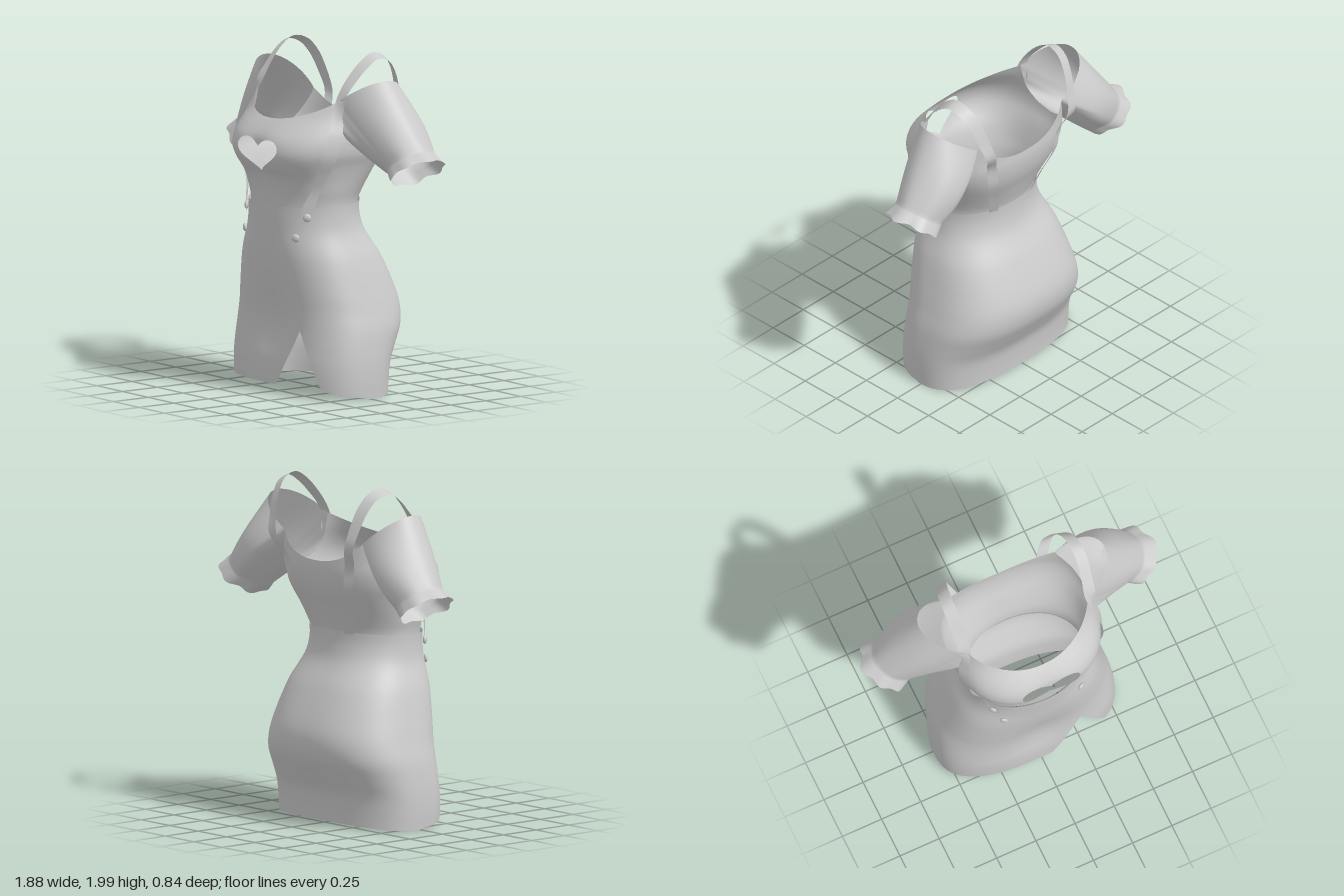
import * as THREE from 'three';
import { mergeGeometries, mergeVertices } from 'three/addons/utils/BufferGeometryUtils.js';

const { PI, sin, cos, abs, sign, min, max, pow, exp } = Math;
const lerp = THREE.MathUtils.lerp;
const material = new THREE.MeshStandardMaterial({ color: 0xcccccc, side: THREE.DoubleSide });

// Body sections: height, half width, front z, back z, z of the widest point
const SKIRT = [
  [0, 0.555, 0.315, -0.29, 0.02], [0.1, 0.56, 0.32, -0.295, 0.02], [0.2, 0.56, 0.322, -0.31, 0.01],
  [0.3, 0.553, 0.315, -0.36, 0], [0.4, 0.54, 0.312, -0.41, -0.02], [0.5, 0.515, 0.315, -0.425, -0.02],
  [0.6, 0.49, 0.322, -0.405, 0], [0.8, 0.435, 0.337, -0.32, 0.03], [0.95, 0.378, 0.345, -0.24, 0.06],
  [1.05, 0.365, 0.352, -0.22, 0.07], [1.15, 0.367, 0.355, -0.22, 0.07]];
const BODICE = [
  [1.05, 0.352, 0.335, -0.2, 0.07], [1.13, 0.355, 0.337, -0.212, 0.07], [1.2, 0.372, 0.343, -0.235, 0.06],
  [1.28, 0.393, 0.365, -0.265, 0.03], [1.35, 0.415, 0.41, -0.295, 0.01], [1.42, 0.443, 0.43, -0.315, 0],
  [1.5, 0.452, 0.41, -0.325, -0.03], [1.57, 0.445, 0.355, -0.322, -0.05], [1.64, 0.435, 0.288, -0.322, -0.07],
  [1.75, 0.43, 0.22, -0.325, -0.08]];

// Smooth lookup of one section column at height y
function section(rows, y, k) {
  let i = 0;
  while (i < rows.length - 2 && y > rows[i + 1][0]) i++;
  const at = (n) => rows[max(0, min(rows.length - 1, n))];
  const slope = (n) => (at(n + 1)[k] - at(n - 1)[k]) / (at(n + 1)[0] - at(n - 1)[0]);
  const h = rows[i + 1][0] - rows[i][0], t = max(0, min(1, (y - rows[i][0]) / h));
  return (1 + 2 * t) * (1 - t) ** 2 * rows[i][k] + t * (1 - t) ** 2 * h * slope(i)
    + t * t * (3 - 2 * t) * rows[i + 1][k] + t * t * (t - 1) * h * slope(i + 1);
}

// Outline roundness: boxy at hips and bust, elliptical at the waist
const roundness = (y) => 0.77 + 0.2 * exp(-(((y - 1.08) / 0.18) ** 2));

// Point on the body outline; angle 0 is +x, PI/2 is the front
function bodyPoint(rows, a, y, off = 0) {
  const s = sin(a), c = cos(a), zc = section(rows, y, 4), e = roundness(y);
  const x = (section(rows, y, 1) + off) * sign(c) * pow(abs(c), e);
  const depth = s > 0 ? section(rows, y, 2) - zc : zc - section(rows, y, 3);
  let z = zc + sign(s) * (depth + off) * pow(abs(s), e);
  if (s > 0) {
    z -= 0.025 * exp(-((x / 0.1) ** 2) - ((y - 1.42) / 0.1) ** 2);
    z -= 0.035 * exp(-((x / 0.19) ** 2) - ((y - 0.4) / 0.24) ** 2);
  }
  return new THREE.Vector3(x, y, z);
}

// Surface from a rule over a grid; skip() leaves cells out
function surface(nu, nv, rule, flip = false, skip = null) {
  const pos = [], index = [];
  for (let j = 0; j <= nv; j++) for (let i = 0; i <= nu; i++) pos.push(...rule(i / nu, j / nv).toArray());
  for (let j = 0; j < nv; j++) for (let i = 0; i < nu; i++) {
    if (skip && skip(i, j)) continue;
    const a = j * (nu + 1) + i, b = a + 1, c = a + nu + 1, d = c + 1;
    index.push(...(flip ? [a, b, c, b, d, c] : [a, c, b, b, c, d]));
  }
  const g = new THREE.BufferGeometry();
  g.setAttribute('position', new THREE.Float32BufferAttribute(pos, 3));
  g.setIndex(index);
  return g;
}

function addMesh(group, name, geometry) {
  const g = mergeVertices(geometry, 1e-4);
  g.computeVertexNormals();
  const mesh = new THREE.Mesh(g, material);
  mesh.name = name;
  group.add(mesh);
  return mesh;
}

// Upper edge of the bodice: neckline, armholes and back
const NU = 128, NV = 20, BASE = 1.08;
const FRONT = 11 * 2 * PI / NU, BACK = -15 * 2 * PI / NU, MID = -0.1;
function bodiceTop(angle) {
  const a = Math.atan2(sin(angle), abs(cos(angle)));
  if (a >= FRONT) return 1.61 + 0.12 * pow((PI / 2 - a) / (PI / 2 - FRONT), 1.5);
  if (a <= BACK) return 1.55 + 0.13 * pow((a + PI / 2) / (BACK + PI / 2), 1.7);
  return a > MID ? 1.46 + 0.27 * ((a - MID) / (FRONT - MID)) ** 2 : 1.46 + 0.22 * ((a - MID) / (BACK - MID)) ** 2;
}
const bodiceAt = (a, v) => bodyPoint(BODICE, a, lerp(BASE, bodiceTop(a), v));

function bodiceGeometry() {
  const i0 = 20, i1 = 44, j0 = 5, j1 = 18;
  const shell = surface(NU, NV, (u, v) => bodiceAt(u * 2 * PI, v), false,
    (i, j) => i >= i0 && i < i1 && j >= j0 && j < j1);
  // Border of the left out cells, walked from the bottom centre
  const border = [];
  for (let i = 32; i < i1; i++) border.push([i, j0]);
  for (let j = j0; j < j1; j++) border.push([i1, j]);
  for (let i = i1; i > i0; i--) border.push([i, j1]);
  for (let j = j1; j > j0; j--) border.push([i0, j]);
  for (let i = i0; i <= 32; i++) border.push([i, j0]);
  const n = border.length - 1;
  // Chest panel from the heart cut-out to that border
  const panel = surface(n, 8, (u, v) => {
    const t = PI + 2 * PI * u, [bi, bj] = border[Math.round(u * n)];
    const x = 0.01 + 0.185 * sign(sin(t)) * pow(abs(sin(t)), 2.4);
    const y = 1.421 + 0.00655 * (13 * cos(t) - 5 * cos(2 * t) - 2 * cos(3 * t) - cos(4 * t));
    const a = Math.acos(sign(x) * pow(abs(x) / section(BODICE, y, 1), 1 / roundness(y)));
    const h = (y - BASE) / (bodiceTop(a) - BASE);
    return bodiceAt(lerp(a, bi / NU * 2 * PI, v), lerp(h, bj / NV, v));
  }, true);
  return mergeGeometries([shell, panel]);
}

// Skirt with a slit over the left thigh
function skirtAt(u, v) {
  const a = u * 2 * PI, s = sin(a), x = 0.555 * sign(cos(a)) * pow(abs(cos(a)), 0.77);
  let low = s > 0 ? 0.012 + 0.043 * min(1, s * 1.3) : 0.005 + 0.02 * s * s;
  if (s > 0) low = max(low, min(0.39 - abs(x - 0.265) * (x < 0.265 ? 1.65 : 2.15), 0.39));
  return bodyPoint(SKIRT, a, lerp(low, 1.11 + 0.025 * max(0, -s), v));
}

// Sleeve with an open shoulder edge and a gathered frill
function sleeveAt(side, u, v) {
  const a = u * 2 * PI, front = bodiceAt(FRONT, 1), back = bodiceAt(BACK, 1);
  let root;
  if (u <= 0.5) root = bodiceAt(lerp(FRONT, BACK, u * 2), 1);
  else {
    const mid = front.clone().add(back).multiplyScalar(0.5);
    const apex = new THREE.Vector3(0.59, 1.86, -0.12);
    root = mid.clone().addScaledVector(front.sub(mid), cos(a)).addScaledVector(apex.sub(mid), -sin(a));
  }
  const wave = sin(7 * a) + 0.6 * sin(4 * a + 1);
  const ring = (cx, cy, hx, hy, hz, w) => new THREE.Vector3(
    cx - sin(a) * hx * (1 + w * wave), cy - sin(a) * hy * (1 + w * wave), -0.16 + cos(a) * hz * (1 + w * wave));
  const cuff = ring(0.732, 1.392, 0.118, 0.088, 0.148, 0.015);
  let p;
  if (v <= 0.75) {
    const t = v / 0.75;
    p = root.lerp(cuff, t);
    p.z += cos(a) * sin(PI * t) * (cos(a) < 0 ? 0.05 : 0.012);
  } else {
    const t = (v - 0.75) / 0.25;
    p = cuff.lerp(ring(0.795, 1.345, 0.128, 0.088, 0.17, 0.035), t);
    p.x += 0.006 * wave * t;
    p.y -= 0.004 * wave * t;
  }
  p.x *= side;
  return p;
}

// Strap edges: up the front, over the shoulder and down the back
function strapGeometry(side) {
  const inner = [], outer = [];
  const onBody = (rows, a, y, d, off) => {
    const s = sign(a);
    inner.push(bodyPoint(rows, a + s * d, y, off));
    outer.push(bodyPoint(rows, a - s * d, y, off));
  };
  // Free part leans outward: the outer edge runs on a slightly smaller arc
  const free = (x, y, z, tilt) => {
    const shift = side < 0 ? 0.025 * tilt : 0;
    inner.push(new THREE.Vector3(x - 0.035 - shift, y, z));
    outer.push(new THREE.Vector3(x + 0.035 - shift, lerp(y, 1.6, 0.07 * tilt), lerp(z, -0.12, 0.1 * tilt)));
  };
  onBody(SKIRT, 0.74, 1.02, 0.07, 0.012);
  onBody(SKIRT, 0.68, 1.1, 0.1, 0.014);
  [[0.57, 1.2], [0.46, 1.3], [0.36, 1.42], [0.38, 1.53], [0.45, 1.63]].forEach(([a, y]) => onBody(BODICE, a, y, 0.1, 0.014));
  [[0.405, 1.76, 0.1, 0.4], [0.415, 1.87, 0.03, 0.8], [0.425, 1.955, -0.05, 1], [0.425, 1.998, -0.13, 1],
    [0.415, 1.975, -0.22, 1], [0.395, 1.9, -0.285, 0.9], [0.365, 1.77, -0.335, 0.6], [0.335, 1.66, -0.355, 0.2]]
    .forEach((p) => free(...p));
  [[-1.02, 1.54], [-1.07, 1.4], [-1.12, 1.25], [-1.15, 1.12]].forEach(([a, y]) => onBody(BODICE, a, y, 0.085, 0.012));
  const A = new THREE.CatmullRomCurve3(inner), B = new THREE.CatmullRomCurve3(outer);
  return surface(2, 90, (u, v) => {
    const p = A.getPoint(v).lerp(B.getPoint(v), u);
    p.x *= side;
    return p;
  }, side > 0);
}

export function createModel() {
  const model = new THREE.Group();
  model.name = 'dress';
  addMesh(model, 'bodice', bodiceGeometry());
  addMesh(model, 'skirt', surface(192, 48, skirtAt));
  for (const side of [1, -1]) {
    const label = side > 0 ? 'left' : 'right';
    addMesh(model, label + 'Sleeve', surface(96, 28, (u, v) => sleeveAt(side, u, v), side > 0));
    addMesh(model, label + 'Strap', strapGeometry(side));
    // Two domed buttons at the strap end
    [[0.69, 1.055], [0.95, 0.935]].forEach(([a, y], i) => {
      const p = bodyPoint(SKIRT, a, y, 0.014);
      const button = addMesh(model, label + (i ? 'LowerButton' : 'UpperButton'), new THREE.SphereGeometry(0.024, 16, 10));
      button.scale.z = 0.5;
      button.position.set(p.x * side, y, p.z);
      button.rotation.y = side * (PI / 2 - a) * 0.9;
    });
  }
  return model;
}
